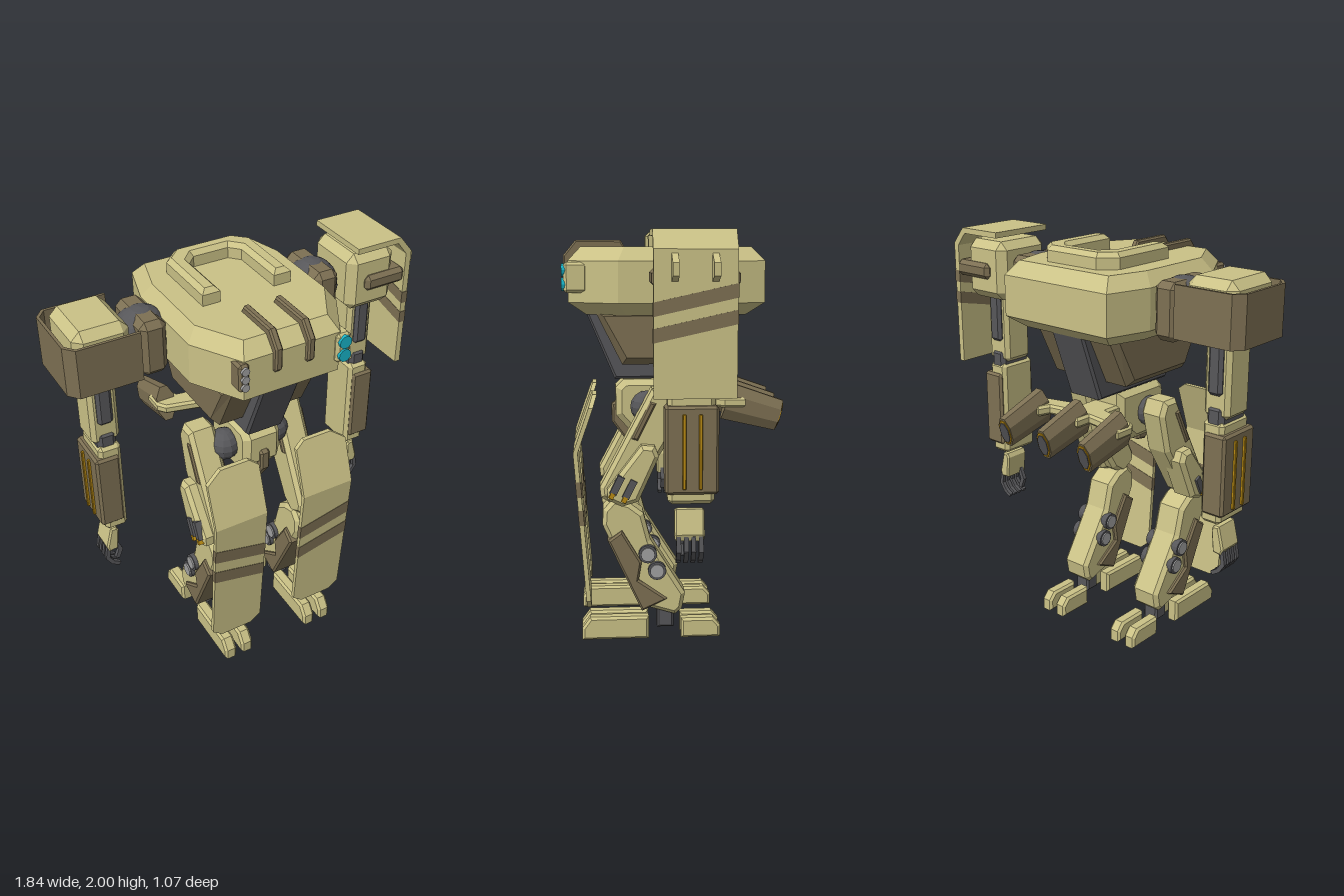
import * as THREE from 'three';
import { ConvexGeometry } from 'three/addons/geometries/ConvexGeometry.js';

const paint = (color) => new THREE.MeshStandardMaterial({ color, flatShading: true, side: THREE.DoubleSide });
const cream = paint(0xcbc287), brown = paint(0x7d7053), dark = paint(0x57575a);
const gold = paint(0xb98a12), teal = paint(0x18b4c8), silver = paint(0xa2a2a2);

const v = (x, y, z) => new THREE.Vector3(x, y, z);

function add(parent, name, geo, mat) {
  const mesh = new THREE.Mesh(geo, mat);
  mesh.name = name;
  parent.add(mesh);
  return mesh;
}

// Extrusion of an outline, centred on its depth, with a one-step bevel
function slab(points, width, b = 0) {
  const shape = new THREE.Shape(points.map(([x, y]) => new THREE.Vector2(x, y)));
  const depth = width - 2 * b;
  return new THREE.ExtrudeGeometry(shape, {
    depth, bevelEnabled: b > 0, bevelSize: b, bevelThickness: b, bevelOffset: -b, bevelSegments: 1,
  }).translate(0, 0, -depth / 2);
}

// Outline given in (z, y), extruded across x
const prism = (points, x, width, b = 0) => slab(points, width, b).rotateY(-Math.PI / 2).translate(x, 0, 0);

// Outline given in (x, z), extruded down from a top height
const plan = (points, top, height, b = 0) => slab(points, height, b).rotateX(Math.PI / 2).translate(0, top - height / 2, 0);

// Box between two corners, all edges chamfered
function block(x0, x1, y0, y1, z0, z1, c = 0.02) {
  const pts = [], half = [(x1 - x0) / 2, (y1 - y0) / 2, (z1 - z0) / 2];
  for (const sx of [-1, 1]) for (const sy of [-1, 1]) for (const sz of [-1, 1])
    for (let k = 0; k < 3; k++) {
      const h = half.map((e, i) => (i === k ? e : e - c));
      pts.push(v(sx * h[0], sy * h[1], sz * h[2]));
    }
  return new ConvexGeometry(pts).translate((x0 + x1) / 2, (y0 + y1) / 2, (z0 + z1) / 2);
}

// Same, with x measured outward on side s
const sideBlock = (s, x0, x1, ...rest) => block(Math.min(s * x0, s * x1), Math.max(s * x0, s * x1), ...rest);

// Square rod between two points
function rod(a, b, w, d) {
  const dir = b.clone().sub(a);
  const q = new THREE.Quaternion().setFromUnitVectors(v(0, 1, 0), dir.clone().normalize());
  return new THREE.BoxGeometry(w, dir.length() + w * 0.5, d).applyQuaternion(q)
    .translate((a.x + b.x) / 2, (a.y + b.y) / 2, (a.z + b.z) / 2);
}

function buildTorso(root) {
  const g = new THREE.Group();
  g.name = 'torso';
  // Hull: one eight-sided outline, scaled at four heights
  const half = [[0.315, -0.425], [0.377, -0.2], [0.377, 0.27], [0.24, 0.505]];
  const hull = [];
  for (const [y, k] of [[1.6, 0.82], [1.66, 1], [1.855, 1], [1.92, 0.87]])
    for (const [x, z] of half) for (const s of [-1, 1]) hull.push(v(s * x * k, y, 0.04 + (z - 0.04) * k));
  add(g, 'torsoHull', new ConvexGeometry(hull), cream);
  // Roof frame open to the front
  const u = [[0.225, 0.12], [0.225, -0.23], [0.15, -0.305], [-0.15, -0.305], [-0.225, -0.23], [-0.225, 0.12],
    [-0.136, 0.12], [-0.136, -0.17], [-0.09, -0.22], [0.09, -0.22], [0.136, -0.17], [0.136, 0.12]];
  add(g, 'roofFrame', plan(u, 1.995, 0.1, 0.022), cream);
  for (const s of [-1, 1])
    add(g, 'frontRib', prism([[0.22, 1.9], [0.25, 1.952], [0.47, 1.952], [0.53, 1.88], [0.53, 1.78], [0.51, 1.76],
      [0.45, 1.76], [0.42, 1.88]], s * 0.081, 0.036, 0.008), brown);
  // Lamps on the front corners
  const lamp = (x, y, r, mat) => add(g, 'lamp', new THREE.CylinderGeometry(r, r, 0.03, 12)
    .rotateX(Math.PI / 2).translate(x, y, 0.52), mat);
  add(g, 'leftLampHousing', block(0.215, 0.29, 1.705, 1.85, 0.41, 0.525, 0.015), cream);
  for (const y of [1.745, 1.812]) lamp(0.253, y, 0.031, teal);
  add(g, 'rightLampHousing', block(-0.272, -0.22, 1.715, 1.85, 0.41, 0.525, 0.012), brown);
  for (const y of [1.742, 1.782, 1.822]) lamp(-0.246, y, 0.019, silver);
  // Waist
  add(g, 'waistShell', prism([[0.38, 1.62], [0.25, 1.36], [-0.18, 1.36], [-0.31, 1.62]], 0, 0.515, 0.035), brown);
  add(g, 'waistCore', prism([[0.425, 1.61], [0.285, 1.275], [-0.22, 1.275], [-0.345, 1.61]], 0, 0.2, 0.012), dark);
  root.add(g);
}

function buildPelvis(root) {
  const g = new THREE.Group();
  g.name = 'pelvis';
  add(g, 'hipBlock', prism([[0.24, 1.27], [0.28, 1.23], [0.28, 1.09], [0.2, 1.0], [0.04, 1.0], [-0.07, 1.1],
    [-0.07, 1.27]], 0, 0.2, 0.03), cream);
  add(g, 'hipFrontBar', prism([[0.27, 1.16], [0.3, 1.14], [0.3, 1.05], [0.22, 0.94], [0.16, 0.95], [0.16, 1.1]],
    0, 0.05, 0.01), brown);
  for (const s of [-1, 1])
    add(g, 'hipBall', new THREE.SphereGeometry(0.08, 12, 8).translate(s * 0.135, 1.14, 0.13), dark);
  // Rear bracket carrying three nozzles
  const half = [[0.08, -0.03], [0.08, -0.15], [0.28, -0.2], [0.31, -0.24], [0.31, -0.34], [0.2, -0.34],
    [0.18, -0.28], [0.06, -0.26], [0.06, -0.34]];
  const outline = half.concat(half.map(([x, z]) => [-x, z]).reverse());
  add(g, 'nozzleBracket', plan(outline, 1.205, 0.05, 0.012), cream);
  for (const x of [-0.255, 0, 0.255]) {
    const n = new THREE.Group();
    n.name = 'nozzle';
    const oct = (r0, r1, h, end) => new THREE.CylinderGeometry(r1, r0, h, 8).rotateY(Math.PI / 8)
      .rotateX(-Math.PI / 2).scale(0.52, 1, 1).translate(0, 0, -end + h / 2);
    add(n, 'nozzleShell', oct(0.098, 0.082, 0.27, 0.27), brown);
    add(n, 'nozzleRing', oct(0.07, 0.07, 0.02, 0.274), gold);
    add(n, 'nozzleCore', oct(0.058, 0.058, 0.02, 0.278), dark);
    n.position.set(x, 1.185, -0.25);
    n.rotation.x = -0.28;
    g.add(n);
  }
  root.add(g);
}

function buildArm(root, s) {
  const g = new THREE.Group();
  g.name = s > 0 ? 'leftArm' : 'rightArm';
  add(g, 'shoulderBall', new THREE.SphereGeometry(0.13, 16, 10).translate(s * 0.45, 1.77, -0.05), dark);
  add(g, 'shoulderCollar', sideBlock(s, 0.385, 0.515, 1.62, 1.89, -0.2, 0.1, 0.03), brown);
  add(g, 'shoulderBox', sideBlock(s, 0.562, 0.825, 1.645, 1.94, -0.21, 0.115, 0.04), cream);
  add(g, 'upperArm', sideBlock(s, 0.626, 0.765, 1.3, 1.66, -0.13, 0.04, 0.02), cream);
  // Grey insets on the front and back of the upper arm
  for (const z of [-0.13, 0.04])
    add(g, 'upperArmInset', sideBlock(s, 0.658, 0.734, 1.41, 1.655, z - 0.02, z + 0.02, 0.015), dark);
  add(g, 'elbow', sideBlock(s, 0.65, 0.742, 1.24, 1.36, -0.14, 0.05, 0.02), dark);
  add(g, 'forearm', sideBlock(s, 0.638, 0.75, 0.79, 1.29, -0.145, 0.065, 0.018), cream);
  add(g, 'forearmCover', sideBlock(s, 0.655, 0.775, 0.84, 1.235, -0.16, 0.078, 0.012), brown);
  for (const z of [-0.078, -0.006])
    add(g, 'forearmStrip', sideBlock(s, 0.765, 0.787, 0.865, 1.2, z - 0.008, z + 0.008, 0.003), gold);
  // Hand
  add(g, 'palm', slab([[0.748, 0.65], [0.738, 0.62], [0.69, 0.625], [0.678, 0.74], [0.69, 0.762], [0.72, 0.762]]
    .map(([x, y]) => [s * x, y]), 0.135, 0.008).translate(0, 0, -0.034), cream);
  const digit = (path, z, w) => {
    for (let i = 1; i < path.length; i++) add(g, 'finger',
      rod(v(s * path[i - 1][0], path[i - 1][1], z), v(s * path[i][0], path[i][1], z), w, 0.021), dark);
  };
  for (const z of [0.016, -0.018, -0.051, -0.085])
    digit([[0.738, 0.635], [0.748, 0.575], [0.722, 0.535], [0.69, 0.515]], z, 0.02);
  digit([[0.692, 0.645], [0.67, 0.59], [0.688, 0.545]], 0.0, 0.022);
  root.add(g);
}

function buildShoulderGuards(root) {
  // Right: brown band wrapped round three sides
  const outer = [[-0.537, 0.15], [-0.835, 0.15], [-0.877, 0.1], [-0.877, -0.19], [-0.835, -0.24], [-0.537, -0.24]];
  const inner = [[-0.537, -0.226], [-0.828, -0.226], [-0.863, -0.183], [-0.863, 0.093], [-0.828, 0.136], [-0.537, 0.136]];
  add(root, 'shoulderBand', plan(outer.concat(inner), 1.9, 0.24), brown);
  // Left: bent shield plate
  const g = new THREE.Group();
  g.name = 'shoulderShield';
  add(g, 'shieldPlate', slab([[0.585, 1.993], [0.828, 1.993], [0.896, 1.91], [0.896, 1.285], [0.866, 1.285],
    [0.866, 1.9], [0.815, 1.965], [0.585, 1.965]], 0.355).translate(0, 0, -0.043), cream);
  for (const y of [1.66, 1.55])
    add(g, 'shieldStripe', prism([[0.137, y - 0.03], [0.137, y + 0.03], [-0.223, y + 0.11], [-0.223, y + 0.05]],
      0.881, 0.034), brown);
  for (const z of [0.045, -0.125])
    add(g, 'shieldPeg', slab([[0.89, 1.895], [0.965, 1.855], [0.965, 1.8], [0.89, 1.775]], 0.028).translate(0, 0, z), cream);
  add(g, 'shieldMount', block(0.645, 0.87, 1.75, 1.83, -0.235, 0.14, 0.02), brown);
  root.add(g);
}

function buildLeg(root, s) {
  const g = new THREE.Group();
  g.name = s > 0 ? 'leftLeg' : 'rightLeg';
  const x = s * 0.24;
  add(g, 'thigh', prism([[0.11, 1.25], [0.02, 1.25], [-0.01, 1.18], [0.04, 0.98], [0.2, 0.72], [0.28, 0.67],
    [0.36, 0.72], [0.365, 0.77]], x, 0.14, 0.02), cream);
  add(g, 'thighSlot', prism([[0.12, 1.19], [0.09, 1.18], [0.18, 1.0], [0.21, 1.01]], x, 0.16, 0.008), brown);
  add(g, 'kneePod', prism([[0.165, 0.985], [0.1, 0.98], [0.08, 0.93], [0.18, 0.71], [0.26, 0.685], [0.33, 0.72],
    [0.33, 0.77]], s * 0.3, 0.14, 0.02), cream);
  for (const [z, y] of [[0.285, 0.79], [0.225, 0.77]]) {
    add(g, 'kneePiston', rod(v(s * 0.365, y - 0.03, z + 0.015), v(s * 0.365, y + 0.04, z - 0.02), 0.035, 0.035), dark);
    add(g, 'pistonTip', rod(v(s * 0.367, y - 0.05, z + 0.025), v(s * 0.367, y - 0.04, z + 0.02), 0.034, 0.022), gold);
  }
  add(g, 'shin', prism([[0.3, 0.715], [0.35, 0.66], [0.355, 0.585], [0.165, 0.17], [0.0, 0.12], [-0.035, 0.15],
    [-0.05, 0.23], [0.12, 0.505], [0.155, 0.64], [0.22, 0.69]], x, 0.16, 0.02), cream);
  add(g, 'shinCover', prism([[0.33, 0.51], [0.26, 0.56], [0.165, 0.4], [0.18, 0.31], [0.04, 0.21], [0.165, 0.15]],
    x, 0.2, 0.01), brown);
  for (const [z, y] of [[0.135, 0.44], [0.09, 0.355]]) {
    add(g, 'shinDisc', new THREE.CylinderGeometry(0.045, 0.045, 0.2, 16).rotateZ(Math.PI / 2).translate(x, y, z), dark);
    add(g, 'shinDiscCap', new THREE.CylinderGeometry(0.034, 0.034, 0.215, 16).rotateZ(Math.PI / 2).translate(x, y, z), silver);
  }
  add(g, 'ankle', prism([[0.088, 0.045], [0.088, 0.15], [0.045, 0.23], [0.005, 0.19], [0.005, 0.045]], x, 0.085, 0.01), dark);
  // Split toes and heel
  for (const t of [-0.048, 0.048]) {
    add(g, 'toe', prism([[0.46, 0], [0.46, 0.06], [0.42, 0.115], [0.13, 0.115], [0.13, 0]], x + t, 0.066, 0.012), cream);
    add(g, 'heel', prism([[-0.03, 0.1], [-0.19, 0.1], [-0.225, 0.06], [-0.225, 0], [-0.03, 0]], x + t, 0.066, 0.012), cream);
  }
  // Leg shield: flat outlines leaned along z by height, bent at y = 0.955
  const lean = (y) => (y > 0.955 ? 0.48 - (y - 0.955) * 0.35 : 0.48 - (0.955 - y) * 0.075);
  const plate = (name, pts, thick, mat) => {
    const geo = slab(pts.map(([px, y]) => [s * px, y]), thick), p = geo.attributes.position;
    for (let i = 0; i < p.count; i++) p.setZ(i, p.getZ(i) + lean(p.getY(i)));
    geo.computeVertexNormals();
    add(g, name, geo, mat);
  };
  plate('legShieldTop', [[0.103, 0.955], [0.103, 1.19], [0.15, 1.225], [0.3, 1.225], [0.378, 1.17], [0.378, 0.955]], 0.022, cream);
  plate('legShieldBottom', [[0.103, 0.955], [0.378, 0.955], [0.378, 0.22], [0.325, 0.175], [0.155, 0.175], [0.103, 0.22]], 0.022, cream);
  for (const y of [0.71, 0.57])
    plate('legShieldStripe', [[0.102, y - 0.038], [0.379, y + 0.03], [0.379, y + 0.105], [0.102, y + 0.037]], 0.026, brown);
  root.add(g);
}

export function createModel() {
  const model = new THREE.Group();
  model.name = 'walkingRobot';
  const root = new THREE.Group();
  root.name = 'body';
  root.position.x = -0.048;
  model.add(root);
  buildTorso(root);
  buildPelvis(root);
  buildShoulderGuards(root);
  for (const s of [-1, 1]) {
    buildArm(root, s);
    buildLeg(root, s);
  }
  return model;
}
